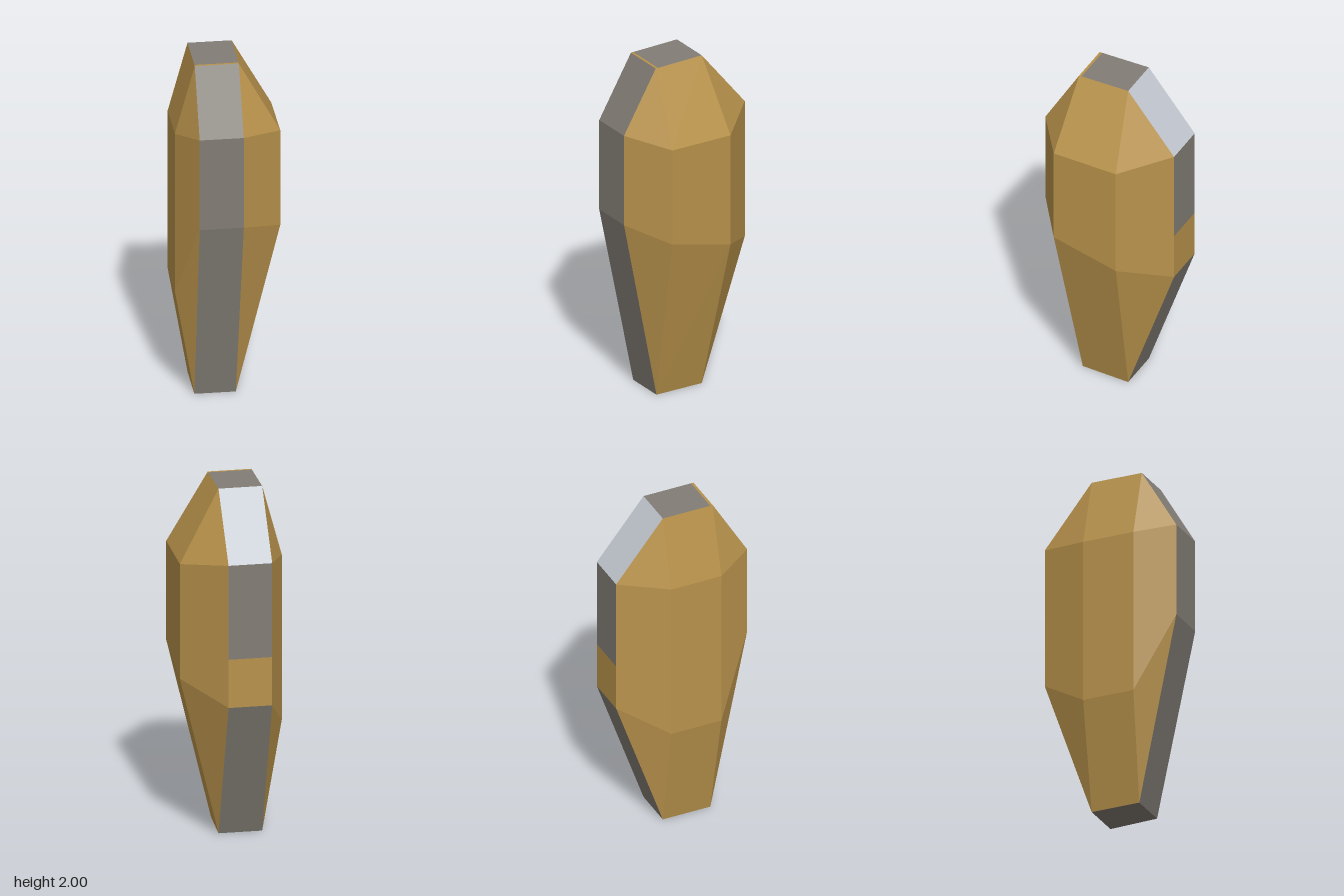
import * as THREE from 'three';

const mat = (name, color) => {
  const m = new THREE.MeshStandardMaterial({ color });
  m.name = name;
  return m;
};

// Flat-shaded mesh from polygons whose corners run counter-clockwise seen from outside
function facets(name, polygons, material) {
  const pos = [];
  for (const p of polygons)
    for (let i = 1; i < p.length - 1; i++) pos.push(...p[0], ...p[i], ...p[i + 1]);
  const g = new THREE.BufferGeometry();
  g.setAttribute('position', new THREE.Float32BufferAttribute(pos, 3));
  g.computeVertexNormals();
  const mesh = new THREE.Mesh(g, material);
  mesh.name = name;
  return mesh;
}

export function createModel() {
  const gold = mat('gold', 0xb8924b);
  const steel = mat('steel grey', 0x827d75);
  const pale = mat('pale grey', 0xc2c7cf);

  // Eight-sided outline [x, z]: front, left, back and right edges, two corners each
  const outline = [
    [-0.18, 0.4], [0.065, 0.4], [0.29, 0.23], [0.29, -0.155],
    [0.065, -0.4], [-0.18, -0.4], [-0.29, -0.115], [-0.29, 0.19],
  ];
  const ring = (heights) => outline.map(([x, z], i) => [x, heights[i], z]);
  // An end cap has four corners, each shared by two neighbouring outline corners
  const cap = (c) => [0, 1, 1, 2, 2, 3, 3, 0].map((k) => c[k]);

  const bottom = [[-0.18, 0, 0.175], [0.05, 0, 0.175], [0.065, 0, -0.115], [-0.18, 0, -0.115]];
  const top = [[-0.18, 2, 0.19], [0.065, 2, 0.19], [0.065, 2, -0.115], [-0.18, 2, -0.115]];
  const levels = [
    cap(bottom),
    ring([1.1, 1.1, 1.025, 0.925, 0.82, 0.82, 0.635, 0.635]),
    ring([1.645, 1.645, 1.6, 1.59, 1.645, 1.645, 1.595, 1.595]),
    cap(top),
  ];
  const quad = (l, i) => {
    const j = (i + 1) % 8;
    return [levels[l][i], levels[l][j], levels[l + 1][j], levels[l + 1][i]];
  };

  const model = new THREE.Group();
  model.name = 'facetedBlock';

  // Side facets; outline edges 0 and 4 belong to the front and back strips
  const sides = [];
  for (let l = 0; l < 3; l++)
    for (const i of [1, 2, 3, 5, 6, 7]) sides.push(quad(l, i));
  model.add(facets('sideFacets', sides, gold));

  // Front strip, three bends
  model.add(facets('frontStrip', [0, 1, 2].map((l) => quad(l, 0)), steel));

  // Back strip, with a gold band below its upright panel
  const [b0, b1, t1, t0] = quad(1, 4);
  const m0 = [b0[0], 1.1, b0[2]], m1 = [b1[0], 1.1, b1[2]];
  model.add(facets('backStrip', [quad(0, 4), [m0, m1, t1, t0]], steel));
  model.add(facets('backBand', [[b0, b1, m1, m0]], gold));
  model.add(facets('backSlope', [quad(2, 4)], pale));

  // Top panel with a narrow gold edge at the front
  const e0 = [-0.18, 2, 0.175], e1 = [0.065, 2, 0.175];
  model.add(facets('topPanel', [[e0, e1, top[2], top[3]]], steel));
  model.add(facets('topEdge', [[top[0], top[1], e1, e0]], gold));

  // Underside
  model.add(facets('bottomPanel', [[...bottom].reverse()], steel));
  return model;
}
